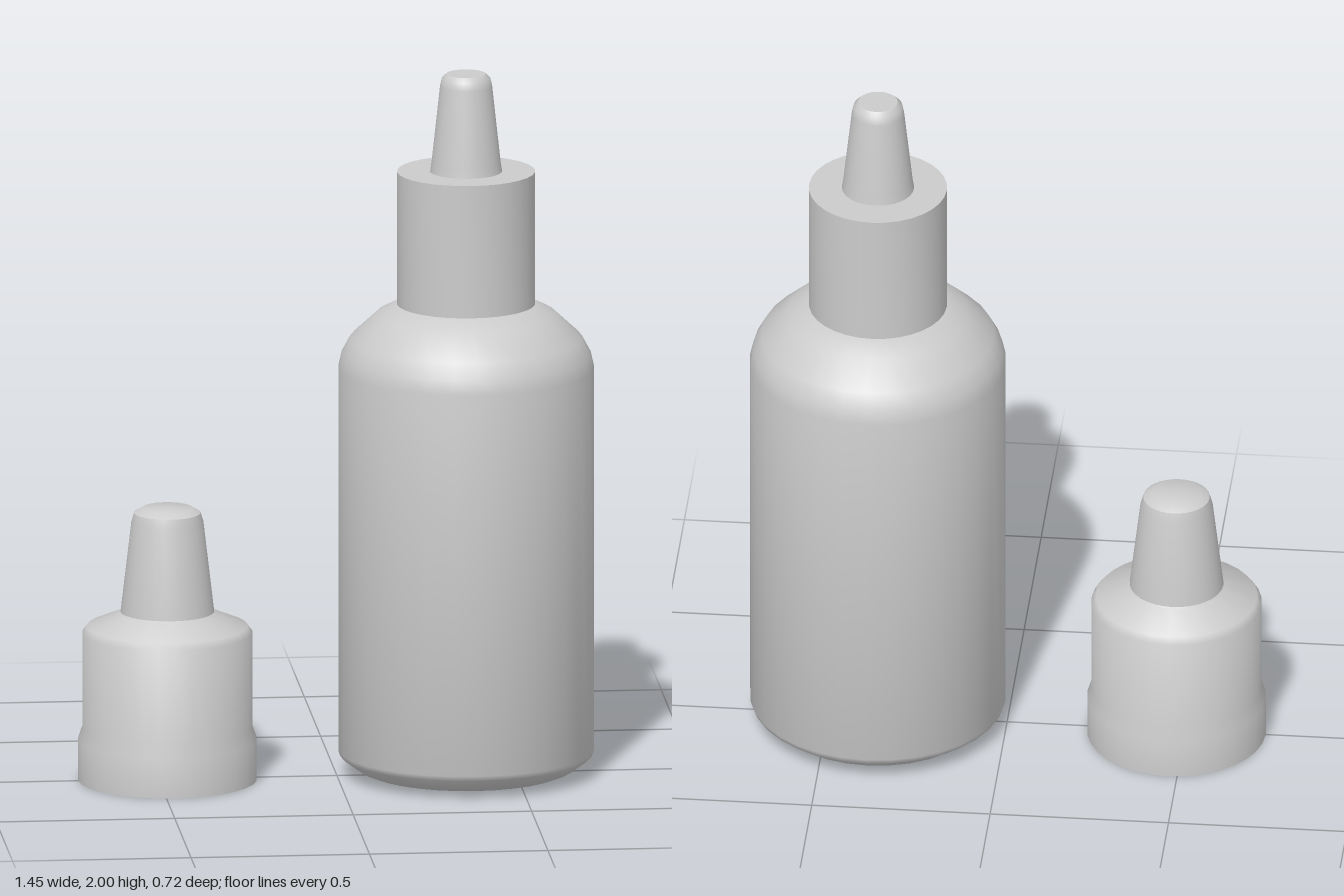
import * as THREE from 'three';
import { toCreasedNormals } from 'three/addons/utils/BufferGeometryUtils.js';

const material = new THREE.MeshStandardMaterial({ color: 0xcccccc });
const shellMaterial = new THREE.MeshStandardMaterial({ color: 0xcccccc, side: THREE.DoubleSide });

// Turned part from [radius, height] pairs listed bottom to top
function turned(name, profile, mat = material) {
  const points = profile.map(([r, y]) => new THREE.Vector2(r, y));
  const geometry = toCreasedNormals(new THREE.LatheGeometry(points, 32), 0.65);
  const mesh = new THREE.Mesh(geometry, mat);
  mesh.name = name;
  return mesh;
}

export function createModel() {
  const model = new THREE.Group();
  model.name = 'dropperBottleWithCap';

  // Bottle: rounded body, straight collar, tapered nozzle
  const bottle = new THREE.Group();
  bottle.name = 'bottle';
  bottle.position.x = 0.362;
  bottle.add(
    turned('body', [
      [0, 0.012], [0.285, 0.012], [0.305, 0.02], [0.352, 0.055], [0.358, 0.07],
      [0.358, 1.16], [0.349, 1.2], [0.325, 1.245], [0.25, 1.315], [0.19, 1.345], [0, 1.345],
    ]),
    turned('collar', [[0.193, 1.342], [0.193, 1.722], [0, 1.722]]),
    turned('nozzle', [
      [0.101, 1.72], [0.097, 1.745], [0.073, 1.965], [0.068, 1.988], [0.055, 2], [0, 2],
    ]),
  );

  // Loose cap: hollow shell, open at the bottom
  const cap = new THREE.Group();
  cap.name = 'cap';
  cap.position.x = -0.475;
  cap.add(turned('capShell', [
    [0.25, 0], [0.25, 0.115], [0.238, 0.15], [0.238, 0.42], [0.225, 0.438],
    [0.137, 0.475], [0.131, 0.48], [0.101, 0.735], [0.093, 0.762], [0.07, 0.776], [0, 0.778],
  ], shellMaterial));

  model.add(bottle, cap);
  return model;
}
